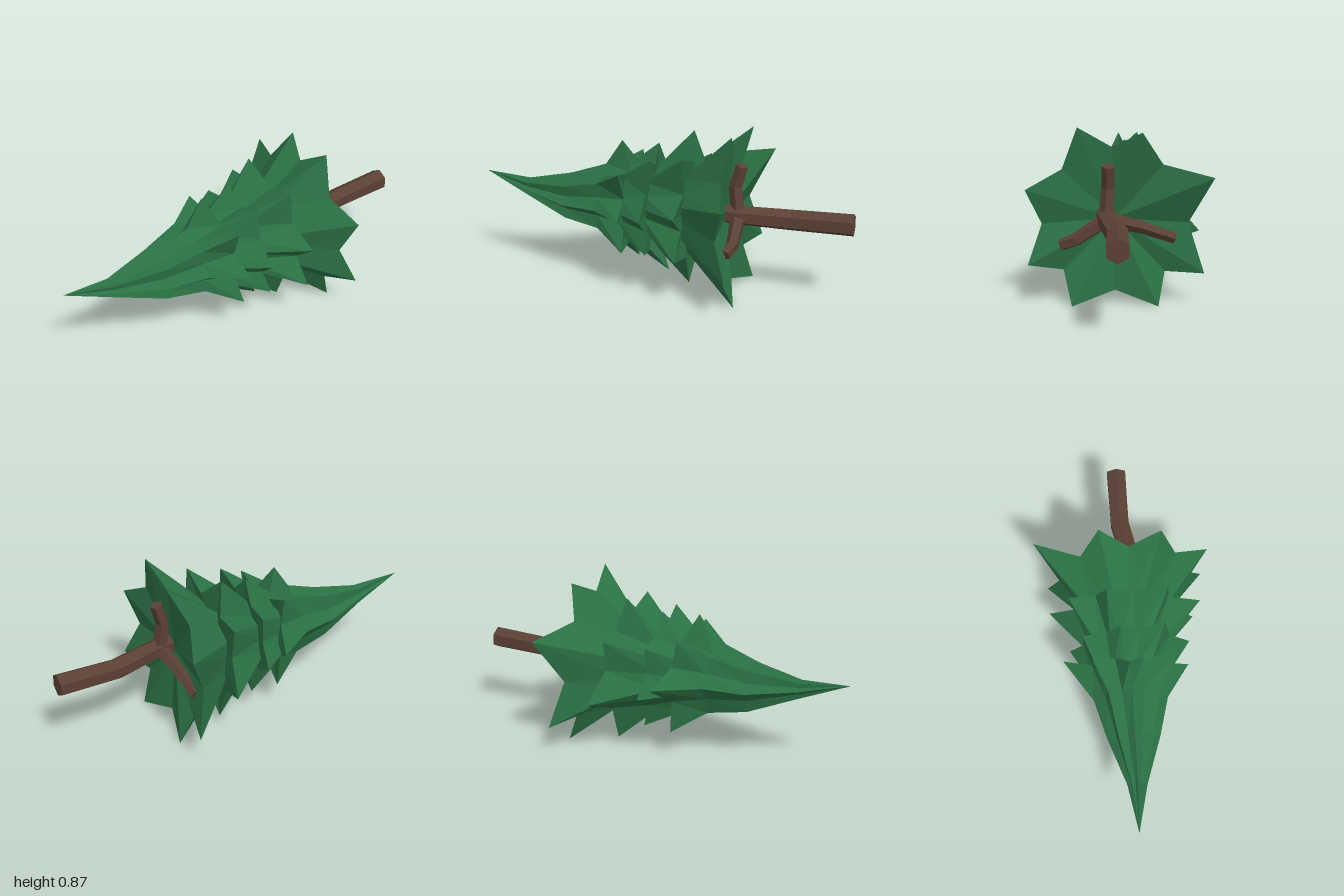
import * as THREE from 'three';

const green = new THREE.MeshStandardMaterial({ color: 0x2b7044, flatShading: true });
const brown = new THREE.MeshStandardMaterial({ color: 0x5a4034, flatShading: true });

// Skins rings of equal point count, running front to back; the last ring closes to a point.
function skin(rings, endPoint, material, name) {
  const pos = [];
  const tri = (a, b, c) => pos.push(...a.toArray(), ...b.toArray(), ...c.toArray());
  const n = rings[0].length;
  for (let k = 0; k + 1 < rings.length; k++) {
    for (let i = 0; i < n; i++) {
      const j = (i + 1) % n, A = rings[k], B = rings[k + 1];
      tri(A[i], B[i], A[j]);
      tri(B[i], B[j], A[j]);
    }
  }
  const last = rings[rings.length - 1];
  for (let i = 0; i < n; i++) tri(endPoint, last[(i + 1) % n], last[i]);
  const geo = new THREE.BufferGeometry();
  geo.setAttribute('position', new THREE.Float32BufferAttribute(pos, 3));
  geo.computeVertexNormals();
  const mesh = new THREE.Mesh(geo, material);
  mesh.name = name;
  return mesh;
}

// One skirt of needles: upper rings [x, y, z, ridgeRadius, valleyRadius], then a jagged rim.
function tier(name, { cx, cy, upper, tips, valleyR, valleyZ, hollow }) {
  const angle = tips.map(([x, y]) => Math.atan2(y - cy, x - cx));
  const valleyAngle = i => {
    let d = angle[(i + 1) % angle.length] - angle[i];
    if (d < 0) d += Math.PI * 2;
    return angle[i] + d / 2;
  };
  const at = (x, y, z, r, a) => new THREE.Vector3(x + r * Math.cos(a), y + r * Math.sin(a), z);
  const rings = upper.map(([x, y, z, ridge, valley]) => angle.flatMap((a, i) =>
    [at(x, y, z, ridge, a), at(x, y, z, valley, valleyAngle(i))]));
  rings.push(tips.flatMap(([x, y, z], i) =>
    [new THREE.Vector3(x, y, z), at(cx, cy, valleyZ, valleyR, valleyAngle(i))]));
  return skin(rings, new THREE.Vector3(cx, cy, hollow), green, name);
}

// Faceted tapering limb along a bent path of [x, y, z, radius].
function limb(name, path, sides) {
  const pts = path.map(([x, y, z]) => new THREE.Vector3(x, y, z));
  const rings = pts.map((p, k) => {
    const dir = pts[Math.min(k + 1, pts.length - 1)].clone().sub(pts[Math.max(k - 1, 0)]).normalize();
    const ref = Math.abs(dir.y) > 0.8 ? new THREE.Vector3(0, 0, 1) : new THREE.Vector3(0, 1, 0);
    const u = ref.cross(dir).normalize();
    const v = u.clone().cross(dir); // u, v turn so that faces point outward
    return Array.from({ length: sides }, (_, i) => {
      const a = ((i + 0.5) / sides) * Math.PI * 2;
      return p.clone().addScaledVector(u, path[k][3] * Math.cos(a)).addScaledVector(v, path[k][3] * Math.sin(a));
    });
  });
  return skin(rings, pts[pts.length - 1], brown, name);
}

export function createModel() {
  const tree = new THREE.Group();
  tree.name = 'fallenPineTree';

  // Foliage, from the tip of the tree back to the widest skirt
  tree.add(tier('topFoliage', {
    cx: -0.01, cy: 0.425, valleyR: 0.2, valleyZ: 0.14, hollow: 0.17,
    upper: [
      [-0.01, 0.505, 1, 0, 0],
      [0, 0.44, 0.75, 0.05, 0.035],
      [0, 0.41, 0.5, 0.135, 0.1],
      [0, 0.425, 0.3, 0.19, 0.15],
    ],
    tips: [[0.31, 0.41, 0.13], [0.235, 0.635, 0.15], [0, 0.75, 0.21], [-0.18, 0.655, 0.16],
      [-0.335, 0.44, 0.08], [-0.18, 0.155, 0.13], [-0.005, 0.12, 0.125], [0.25, 0.225, 0.13]],
  }));
  tree.add(tier('upperFoliage', {
    cx: 0.01, cy: 0.42, valleyR: 0.24, valleyZ: 0.01, hollow: 0.04,
    upper: [[0, 0.42, 0.18, 0.2, 0.17]],
    tips: [[0.325, 0.43, 0.01], [0.19, 0.71, 0], [-0.03, 0.745, 0.02], [-0.225, 0.61, 0.01],
      [-0.3, 0.36, 0], [-0.17, 0.16, -0.02], [0.08, 0.095, -0.07], [0.29, 0.25, -0.01]],
  }));
  tree.add(tier('middleFoliage', {
    cx: 0, cy: 0.42, valleyR: 0.27, valleyZ: -0.19, hollow: -0.15,
    upper: [[0, 0.42, 0.05, 0.18, 0.16]],
    tips: [[0.395, 0.49, -0.19], [0.22, 0.745, -0.18], [-0.09, 0.81, -0.15], [-0.285, 0.635, -0.19],
      [-0.4, 0.325, -0.235], [-0.13, 0.04, -0.19], [0.115, 0.055, -0.19], [0.37, 0.26, -0.19]],
  }));
  tree.add(tier('bottomFoliage', {
    cx: 0.02, cy: 0.42, valleyR: 0.355, valleyZ: -0.39, hollow: -0.36,
    upper: [[0.01, 0.42, -0.14, 0.19, 0.17]],
    tips: [[0.45, 0.575, -0.44], [0.2, 0.873, -0.42], [-0.11, 0.853, -0.455], [-0.45, 0.645, -0.5],
      [-0.41, 0.165, -0.45], [-0.19, 0, -0.455], [0.23, 0, -0.455], [0.44, 0.21, -0.46]],
  }));

  // Bent trunk
  tree.add(limb('trunk', [[0.07, 0.44, -0.3, 0.05], [0.065, 0.435, -0.42, 0.05],
    [0.01, 0.42, -0.69, 0.055], [0.01, 0.428, -1, 0.058]], 6));

  // Three bare branches under the lowest skirt
  const branches = [
    [[0.06, 0.43, -0.43, 0.04], [0.05, 0.58, -0.41, 0.035], [0.05, 0.69, -0.44, 0.033]],
    [[0.06, 0.43, -0.43, 0.04], [-0.1, 0.39, -0.41, 0.033], [-0.27, 0.33, -0.4, 0.028]],
    [[0.06, 0.43, -0.43, 0.04], [0.21, 0.33, -0.44, 0.033], [0.28, 0.3, -0.42, 0.03]],
  ];
  branches.forEach((path, i) => tree.add(limb('branch' + (i + 1), path, 5)));

  return tree;
}
